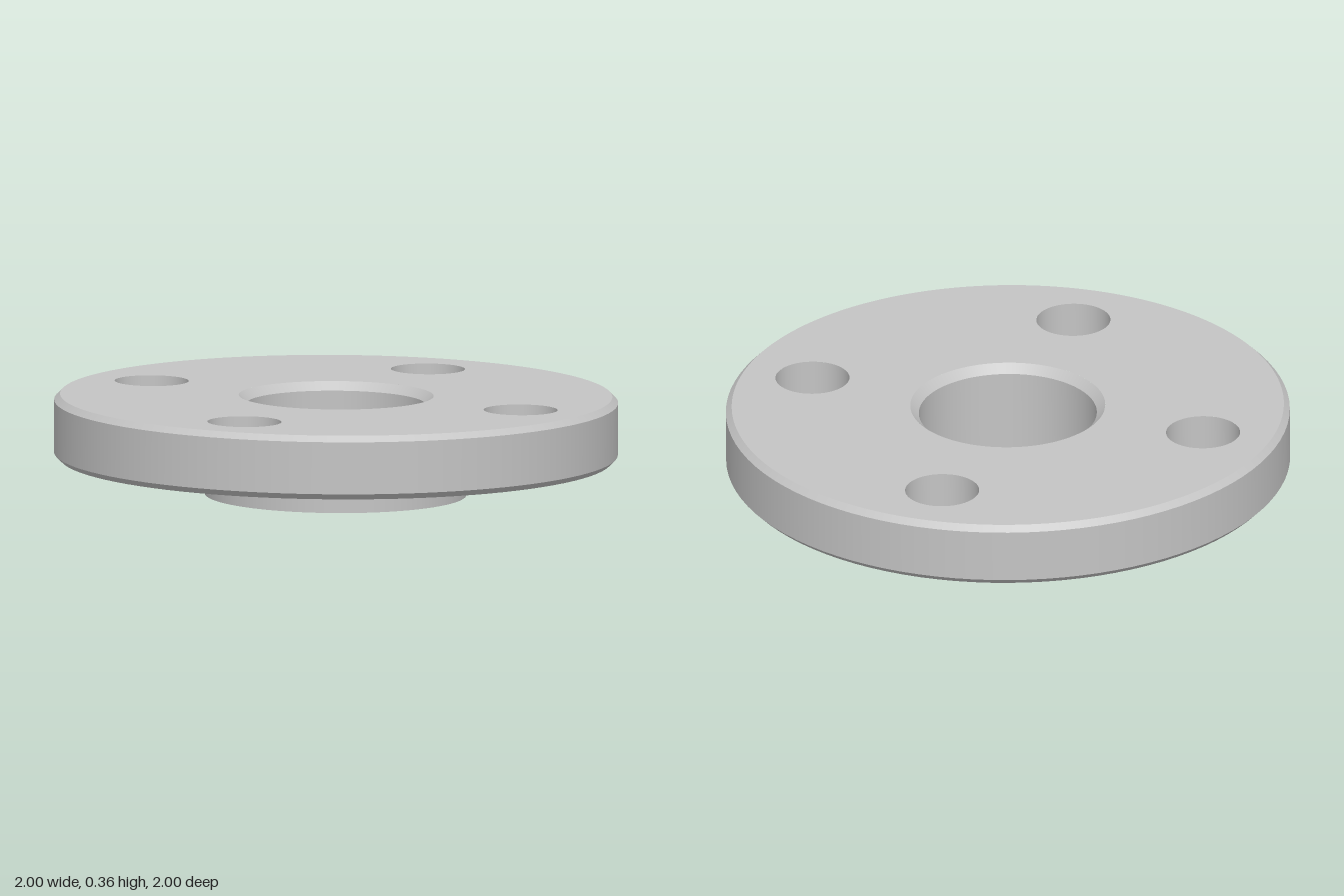
import * as THREE from 'three';
import { mergeGeometries } from 'three/addons/utils/BufferGeometryUtils.js';

const SEG = 96;
const R = 0.998, HUB_R = 0.463, BORE_R = 0.315, HOLE_R = 0.131, HOLE_D = 0.729;
const HUB_H = 0.125, TOP = 0.353, EDGE = 0.021, BORE_EDGE = 0.03, TILT = 0.0072;

// One crisp turned surface for each step of a counter-clockwise [radius, height] profile
function turned(points) {
  const strips = [];
  for (let i = 0; i < points.length - 1; i++) {
    const pair = [points[i], points[i + 1]].map(([r, y]) => new THREE.Vector2(r, y));
    strips.push(new THREE.LatheGeometry(pair, SEG));
  }
  return mergeGeometries(strips);
}

// Flat annulus pierced by the four bolt holes, facing up or down
function drilledFace(outer, inner, y, up) {
  const shape = new THREE.Shape().absarc(0, 0, outer, 0, Math.PI * 2);
  shape.holes.push(new THREE.Path().absarc(0, 0, inner, 0, Math.PI * 2));
  for (let i = 0; i < 4; i++) {
    const a = i * Math.PI / 2;
    shape.holes.push(new THREE.Path().absarc(HOLE_D * Math.cos(a), HOLE_D * Math.sin(a), HOLE_R, 0, Math.PI * 2));
  }
  return new THREE.ShapeGeometry(shape, SEG).rotateX(up ? -Math.PI / 2 : Math.PI / 2).translate(0, y, 0);
}

export function createModel() {
  const steel = new THREE.MeshStandardMaterial({ color: 0xc4c4c4 });
  steel.name = 'steel grey';
  const flange = new THREE.Group();
  flange.name = 'flange';
  const add = (name, geometry) => {
    const mesh = new THREE.Mesh(geometry, steel);
    mesh.name = name;
    flange.add(mesh);
    return mesh;
  };

  // Disc: chamfered rim and drilled faces
  add('rim', turned([[R - EDGE, HUB_H], [R, HUB_H + EDGE], [R, TOP - EDGE], [R - EDGE, TOP]]));
  add('topFace', drilledFace(R - EDGE, BORE_R + BORE_EDGE, TOP, true));
  add('undersideFace', drilledFace(R - EDGE, HUB_R, HUB_H, false));

  // Central bore with its upper chamfer, and the hub below the disc
  add('bore', turned([[BORE_R + BORE_EDGE, TOP], [BORE_R, TOP - BORE_EDGE], [BORE_R, 0]]));
  add('hub', turned([[BORE_R, 0], [HUB_R, 0], [HUB_R, HUB_H]]));

  // Bolt hole walls, facing inwards
  const wall = turned([[HOLE_R, TOP], [HOLE_R, HUB_H]]);
  for (let i = 0; i < 4; i++) {
    const a = i * Math.PI / 2;
    add('boltHole' + (i + 1), wall).position.set(HOLE_D * Math.cos(a), 0, HOLE_D * Math.sin(a));
  }

  // The part leans very slightly towards +x
  flange.rotation.z = -TILT;
  flange.position.set(-0.002, HUB_R * Math.sin(TILT), 0);
  const model = new THREE.Group();
  model.name = 'pipeFlange';
  model.add(flange);
  return model;
}
